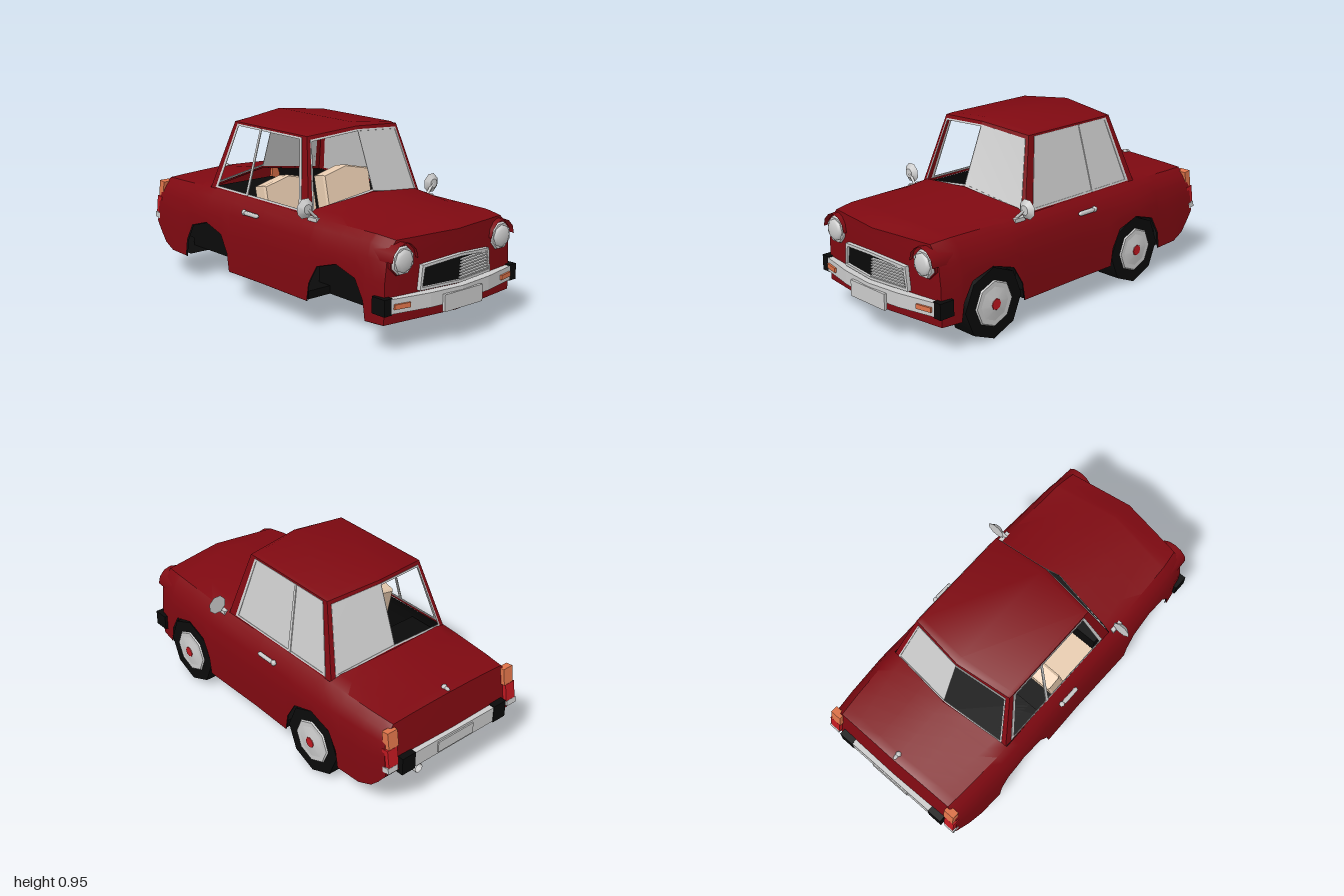
import * as THREE from 'three';
import { toCreasedNormals } from 'three/addons/utils/BufferGeometryUtils.js';

const mat = (color, side = THREE.FrontSide) => new THREE.MeshStandardMaterial({ color, side });
const RED = mat(0x7f0911), RED2 = mat(0x7f0911, THREE.DoubleSide);
const GREY = mat(0xcccccc), GREY2 = mat(0xcccccc, THREE.DoubleSide);
const BLACK = mat(0x0a0a0a), BLACK2 = mat(0x0a0a0a, THREE.DoubleSide);
const ORANGE = mat(0xe0744a), LAMP_RED = mat(0xc01820), BEIGE = mat(0xe8ccb0);

// Piecewise linear lookup in a list of [key, value], keys falling
function table(list, k) {
  if (k >= list[0][0]) return list[0][1];
  for (let i = 1; i < list.length; i++) {
    const [a, va] = list[i - 1], [b, vb] = list[i];
    if (k >= b) return vb + (va - vb) * (k - b) / (a - b);
  }
  return list[list.length - 1][1];
}

// Surface through rows of points; skip(i, j) leaves a cell open
function grid(rows, skip = () => false) {
  const n = rows[0].length, index = [];
  for (let i = 0; i < rows.length - 1; i++) for (let j = 0; j < n - 1; j++) {
    if (skip(i, j)) continue;
    const a = i * n + j, b = a + 1, c = a + n, d = c + 1;
    index.push(a, c, b, b, c, d);
  }
  const g = new THREE.BufferGeometry();
  g.setAttribute('position', new THREE.Float32BufferAttribute(rows.flat(2), 3));
  g.setIndex(index);
  return toCreasedNormals(g, 0.55);
}

export function createModel() {
  const car = new THREE.Group();
  const add = (name, geo, m, x = 0, y = 0, z = 0, parent = car) => {
    const mesh = new THREE.Mesh(geo, m);
    mesh.name = name;
    mesh.position.set(x, y, z);
    parent.add(mesh);
    return mesh;
  };
  // Box given by its limits
  const box = (name, m, x0, x1, y0, y1, z0, z1) => add(name,
    new THREE.BoxGeometry(x1 - x0, y1 - y0, z1 - z0), m, (x0 + x1) / 2, (y0 + y1) / 2, (z0 + z1) / 2);

  // Lower body: cross-sections along z, with the lower edge raised over the wheels
  const AXLES = [0.59, -0.455];
  const ARCH = [[0.2, 0.145], [0.185, 0.24], [0.13, 0.335], [0, 0.375], [-0.13, 0.335], [-0.185, 0.24], [-0.2, 0.145]];
  const WIDTH = [[0.9, 0.43], [0.8, 0.448], [0.4, 0.466], [0, 0.46], [-0.55, 0.469], [-0.8, 0.455], [-0.945, 0.44]];
  const FENDER = [[0.9, 0.54], [0.8, 0.55], [0.31, 0.548], [-0.51, 0.55], [-0.945, 0.53]];
  const CENTRE = [[0.9, 0.545], [0.8, 0.58], [0.6, 0.597], [0.31, 0.618], [-0.51, 0.597], [-0.945, 0.545]];
  const BULGE = [[0.9, 0.055], [0.31, 0.05], [-0.51, -0.045], [-0.945, -0.008]];
  const HOOD_EDGE = [[0.9, 0.5], [0.31, 0.74], [-0.51, 0.7], [-0.945, 0.6]];
  const SIDE = [[0.45, 0.963], [0.4, 0.988], [0.3, 0.997], [0.14, 1]];
  const stations = [[0.9, 0.145], [0.84, 0.145], [0.31, 0.145], [0, 0.145], [-0.51, 0.358],
    [-0.74, 0.145], [-0.8, 0.145], [-0.88, 0.175], [-0.925, 0.22], [-0.945, 0.28]];
  for (const c of AXLES) for (const [dz, y] of ARCH) stations.push([c + dz, y]);
  stations.sort((a, b) => b[0] - a[0]);
  const tailLean = (z, y) => (z < -0.94 ? (y - 0.45) * 0.15 : 0);
  const half = ([z, yb]) => {
    const w = table(WIDTH, z), yf = table(FENDER, z), yc = table(CENTRE, z), e = table(HOOD_EDGE, z);
    const p = [0, 1 / 3, 2 / 3, 1].map(t => yb + (0.45 - yb) * t).map(y => [w * table(SIDE, y), y]);
    p.push([w * 0.905, yf - 0.034], [w * 0.83, yf], [w * e, yf + (yc - yf) * 0.4], [w * 0.3, yf + (yc - yf) * 0.75], [0, yc]);
    return p.map(([x, y]) => [x, y, z + tailLean(z, y) + table(BULGE, z) * Math.max(0, 1 - x / (0.83 * w))]);
  };
  const flip = ([x, y, z]) => [-x, y, z];
  const rows = stations.map(s => { const h = half(s); return [...h, ...h.slice(0, -1).reverse().map(flip)]; });
  const open = (i, j) => stations[i][0] <= 0.3101 && stations[i + 1][0] >= -0.5101 && j >= 5 && j <= 10;
  add('bodyShell', grid(rows, open), RED);
  add('bodyLining', grid(rows.map(r => r.map(([x, y, z]) => [x * 0.985, y - 0.004, z * 0.995])), open), BLACK2);
  // Nose and tail panels
  for (const end of [0, stations.length - 1]) {
    const [z] = stations[end];
    const cap = half(stations[end]).map(p => {
      const r = [p, [0, p[1], z + table(BULGE, z) + tailLean(z, p[1])], flip(p)];
      return end ? r.reverse() : r;
    });
    add(end ? 'tailPanel' : 'nosePanel', grid(cap), RED2);
  }

  // Underbody and dark interior
  box('floor', BLACK, -0.31, 0.31, 0.148, 0.19, -0.8, 0.89);
  box('cabinFloor', BLACK, -0.45, 0.45, 0.148, 0.19, -0.25, 0.385);
  box('noseFloor', BLACK, -0.42, 0.42, 0.148, 0.19, 0.795, 0.89);
  add('tailFloor', grid([[-0.66, 0.148], [-0.8, 0.148], [-0.88, 0.178], [-0.925, 0.223], [-0.96, 0.282]]
    .map(([z, y]) => [[-0.43, y, z], [0.43, y, z]])), BLACK2);
  box('engineBay', BLACK, -0.31, 0.31, 0.15, 0.45, 0.3, 0.88);
  box('luggageBay', BLACK, -0.31, 0.31, 0.19, 0.45, -0.87, -0.24);
  box('rearBench', BLACK, -0.43, 0.43, 0.38, 0.45, -0.6, -0.24);
  box('dashboard', BLACK, -0.36, 0.36, 0.42, 0.53, 0.22, 0.3);

  // Cabin panel: frame, raised trim and optional glass inside a four-cornered face
  const lerp = (a, b, t) => a.map((v, i) => v + (b[i] - v) * t);
  function windowPanel(name, corners, [u0, u1, v0, v1], outward, s, glazed, post) {
    const [A, B, C, D] = corners.map(([x, y, z]) => [x * s, y, z]);
    const at = (u, v, lift = 0) => lerp(lerp(A, B, u), lerp(D, C, u), v)
      .map((c, i) => c + outward[i] * lift * (i ? 1 : s));
    const loop = (a, b, c, d, k) => [at(a, c, k), at(b, c, k), at(b, d, k), at(a, d, k), at(a, c, k)];
    const tu = 0.024, tv = 0.027, left = u0 > 0 ? tu : 0;
    const outer = [u0, u1, v0, v1], inner = [u0 + left, u1 - tu, v0 + tv, v1 - tv];
    add(name + 'Frame', grid([loop(0, 1, 0, 1), loop(...outer)]), RED2);
    add(name + 'Trim', grid([loop(...outer), loop(...outer, 0.003), loop(...inner, 0.003), loop(...inner)]), GREY2);
    if (glazed) add(name + 'Glass', grid([[at(u0, v0), at(u1, v0)], [at(u0, v1), at(u1, v1)]]), GREY2);
    if (post) {
      const across = v => [at(post - 0.011, v), at(post - 0.011, v, 0.005), at(post + 0.011, v, 0.005), at(post + 0.011, v)];
      add(name + 'Post', grid([across(v0), across(v1)]), GREY2);
    }
  }
  const FB = [0.385, 0.542, 0.31], FT = [0.305, 0.916, 0.205], RB = [0.385, 0.542, -0.515], RT = [0.305, 0.916, -0.39];
  for (const s of [1, -1]) {
    const glazed = s > 0;
    windowPanel('windscreen', [[0, 0.612, 0.362], FB, FT, [0, 0.938, 0.23]], [0, 0.94, 0.03, 0.95], [0.1, 0.35, 0.93], s, glazed);
    windowPanel('rearWindow', [[0, 0.592, -0.556], RB, RT, [0, 0.938, -0.43]], [0, 0.93, 0.04, 0.95], [0.1, 0.35, -0.93], s, glazed);
    windowPanel('sideWindow', [FB, RB, RT, FT], [0.065, 0.95, 0.035, 0.975], [0.98, 0.2, 0], s, glazed, 0.61);
  }

  // Roof: four rows, raised along the middle
  const roofRow = (zc, zs, lift) => [0.305, 0.288, 0, -0.288, -0.305].map(x => {
    const t = Math.abs(x) / 0.305;
    return [x, 0.938 - 0.022 * t + (t < 1 ? lift * (1 - 0.6 * t) : 0), zc + (zs - zc) * t];
  });
  add('roof', grid([roofRow(0.232, 0.205, 0), roofRow(0.2, 0.18, 0.017),
    roofRow(-0.395, -0.36, 0.017), roofRow(-0.432, -0.39, 0)]), RED2);

  // Front seats
  for (const s of [1, -1]) {
    const seat = new THREE.Group();
    seat.name = 'frontSeat';
    seat.position.x = 0.2 * s;
    car.add(seat);
    add('seatCushion', new THREE.BoxGeometry(0.32, 0.12, 0.27), BEIGE, 0, 0.33, 0.1, seat);
    const outline = new THREE.Shape([[-0.155, 0], [0.155, 0], [0.155, 0.275], [0, 0.31], [-0.155, 0.275]]
      .map(p => new THREE.Vector2(...p)));
    const back = add('seatBack', new THREE.ExtrudeGeometry(outline,
      { depth: 0.07, bevelSize: 0.008, bevelThickness: 0.012, bevelSegments: 1 }), BEIGE, 0, 0.335, -0.085, seat);
    back.rotation.x = -0.22;
  }

  // Wheels on the left side
  const disc = (r0, r1, h) => new THREE.CylinderGeometry(r0, r1, h, 8).rotateZ(-Math.PI / 2);
  for (const z of AXLES) {
    const wheel = new THREE.Group();
    wheel.name = 'wheel';
    wheel.position.set(0, 0.185, z);
    car.add(wheel);
    add('tyre', toCreasedNormals(disc(0.185, 0.185, 0.135), 0.9), BLACK, 0.3875, 0, 0, wheel);
    add('rim', disc(0.115, 0.122, 0.008), GREY, 0.458, 0, 0, wheel);
    add('hubDome', disc(0.03, 0.1, 0.012), GREY, 0.466, 0, 0, wheel);
    add('hubCap', disc(0.028, 0.03, 0.004), LAMP_RED, 0.473, 0, 0, wheel);
  }

  // Bars bent in plan, upright between y0 and y1
  const bar = (name, m, plan, y0, y1) => {
    const shape = new THREE.Shape(plan.map(([x, z]) => new THREE.Vector2(x, -z)));
    return add(name, new THREE.ExtrudeGeometry(shape, { depth: y1 - y0, bevelEnabled: false }).rotateX(-Math.PI / 2), m, 0, y0, 0);
  };
  bar('frontBumper', GREY, [[-0.41, 0.93], [-0.2, 0.975], [0, 0.995], [0.2, 0.975], [0.41, 0.93],
    [0.41, 0.89], [0.2, 0.93], [0, 0.95], [-0.2, 0.93], [-0.41, 0.89]], 0.203, 0.275);
  bar('rearBumper', GREY, [[-0.27, -0.95], [0.27, -0.95], [0.27, -0.993], [-0.27, -0.993]], 0.262, 0.348);
  box('frontPlate', GREY, -0.13, 0.13, 0.17, 0.255, 0.985, 1);
  box('rearPlate', GREY, -0.12, 0.12, 0.275, 0.335, -1, -0.99);

  // Grille: frame, dark opening, and slats on the left half, following the nose
  const noseZ = x => 0.962 - Math.abs(x) * 0.126;
  const bend = geo => {
    const p = geo.attributes.position;
    for (let i = 0; i < p.count; i++) p.setZ(i, p.getZ(i) + noseZ(p.getX(i)));
    geo.computeVertexNormals();
    return geo;
  };
  const ring = (k, dz) => [[-0.242 + k, 0.285 + k], [0, 0.285 + k], [0.242 - k, 0.285 + k], [0.228 - k, 0.407 - k],
    [0, 0.428 - k], [-0.228 + k, 0.407 - k], [-0.242 + k, 0.285 + k]].map(([x, y]) => [x, y, noseZ(x) + dz]);
  add('grilleFrame', grid([ring(0, -0.02), ring(0, 0.014), ring(0.014, 0.014), ring(0.014, -0.005)]), GREY2);
  for (const s of [1, -1]) {
    const opening = new THREE.Shape([[0, 0.292], [0.235, 0.292], [0.221, 0.4], [0, 0.421]].map(([x, y]) => new THREE.Vector2(x * s, y)));
    add('grilleOpening', bend(new THREE.ShapeGeometry(opening)), BLACK2);
  }
  for (let i = 0; i < 7; i++) add('grilleSlat', bend(new THREE.BoxGeometry(0.222 - i * 0.0025, 0.007, 0.016)
    .translate(0.111, 0, 0)), GREY, 0, 0.307 + i * 0.0145, 0.007);

  // Paired fittings
  for (const s of [1, -1]) {
    const sbox = (name, m, x0, x1, ...r) => box(name, m, Math.min(x0 * s, x1 * s), Math.max(x0 * s, x1 * s), ...r);
    sbox('frontBumperEnd', BLACK, 0.405, 0.455, 0.198, 0.28, 0.845, 0.93);
    sbox('rearBumperEnd', BLACK, 0.27, 0.355, 0.257, 0.353, -0.996, -0.95);
    const signal = sbox('indicator', ORANGE, 0.312, 0.4, 0.226, 0.25, 0.937, 0.952);
    signal.rotation.y = 0.2 * s;
    // Headlamp in its housing, under a short visor
    const tube = (r0, r1, h) => new THREE.CylinderGeometry(r0, r1, h, 8).rotateX(Math.PI / 2).rotateZ(Math.PI / 8);
    add('headlampHousing', tube(0.078, 0.085, 0.12), RED, 0.335 * s, 0.447, 0.855);
    add('headlampVisor', new THREE.CylinderGeometry(0.082, 0.09, 0.13, 6, 1, true, Math.PI / 2, Math.PI).rotateX(Math.PI / 2),
      RED2, 0.335 * s, 0.447, 0.875);
    add('headlampRim', tube(0.066, 0.073, 0.02), GREY, 0.335 * s, 0.444, 0.92);
    const lens = add('headlampLens', new THREE.SphereGeometry(0.058, 8, 4, 0, Math.PI * 2, 0, Math.PI / 2).rotateX(Math.PI / 2), GREY, 0.335 * s, 0.444, 0.928);
    lens.scale.z = 0.4;
    // Tail lamp in three bands, leaning with the tail
    for (const [name, m, y0, y1] of [['tailIndicator', ORANGE, 0.425, 0.515], ['tailLamp', LAMP_RED, 0.33, 0.425], ['reverseLamp', GREY, 0.3, 0.33]]) {
      const y = (y0 + y1) / 2;
      const lamp = add(name, new THREE.BoxGeometry(0.062, y1 - y0, 0.04), m, (0.4 - (y - 0.4) * 0.1) * s, y, -0.948 + (y - 0.45) * 0.15);
      lamp.rotation.x = 0.149;
    }
    // Door handle
    add('doorHandle', new THREE.CapsuleGeometry(0.012, 0.09, 2, 6).rotateX(Math.PI / 2), GREY, 0.446 * s, 0.487, -0.075);
    add('handleButton', new THREE.SphereGeometry(0.016, 6, 4), GREY, 0.444 * s, 0.487, -0.138);
    // Wing mirror on a stalk
    const stalk = new THREE.LineCurve3(new THREE.Vector3(0.375 * s, 0.54, 0.37), new THREE.Vector3(0.435 * s, 0.598, 0.36));
    add('mirrorStalk', new THREE.TubeGeometry(stalk, 1, 0.008, 6), GREY);
    sbox('mirrorFoot', GREY, 0.365, 0.405, 0.525, 0.55, 0.325, 0.395);
    add('mirrorHead', tube(0.025, 0.053, 0.022), GREY, 0.435 * s, 0.597, 0.355);
  }

  // Boot handle and exhaust
  add('bootHandle', new THREE.CapsuleGeometry(0.01, 0.03, 2, 6).rotateX(Math.PI / 2), GREY, 0, 0.552, -0.91);
  add('bootHandleKnob', new THREE.SphereGeometry(0.016, 6, 4), GREY, 0, 0.552, -0.9);
  add('exhaustPipe', new THREE.CylinderGeometry(0.015, 0.015, 0.3, 8).rotateX(Math.PI / 2), BLACK, 0.185, 0.155, -0.72);
  add('exhaustTip', new THREE.CylinderGeometry(0.025, 0.025, 0.08, 8, 1, true).rotateX(Math.PI / 2), GREY2, 0.185, 0.172, -0.9);
  return car;
}
